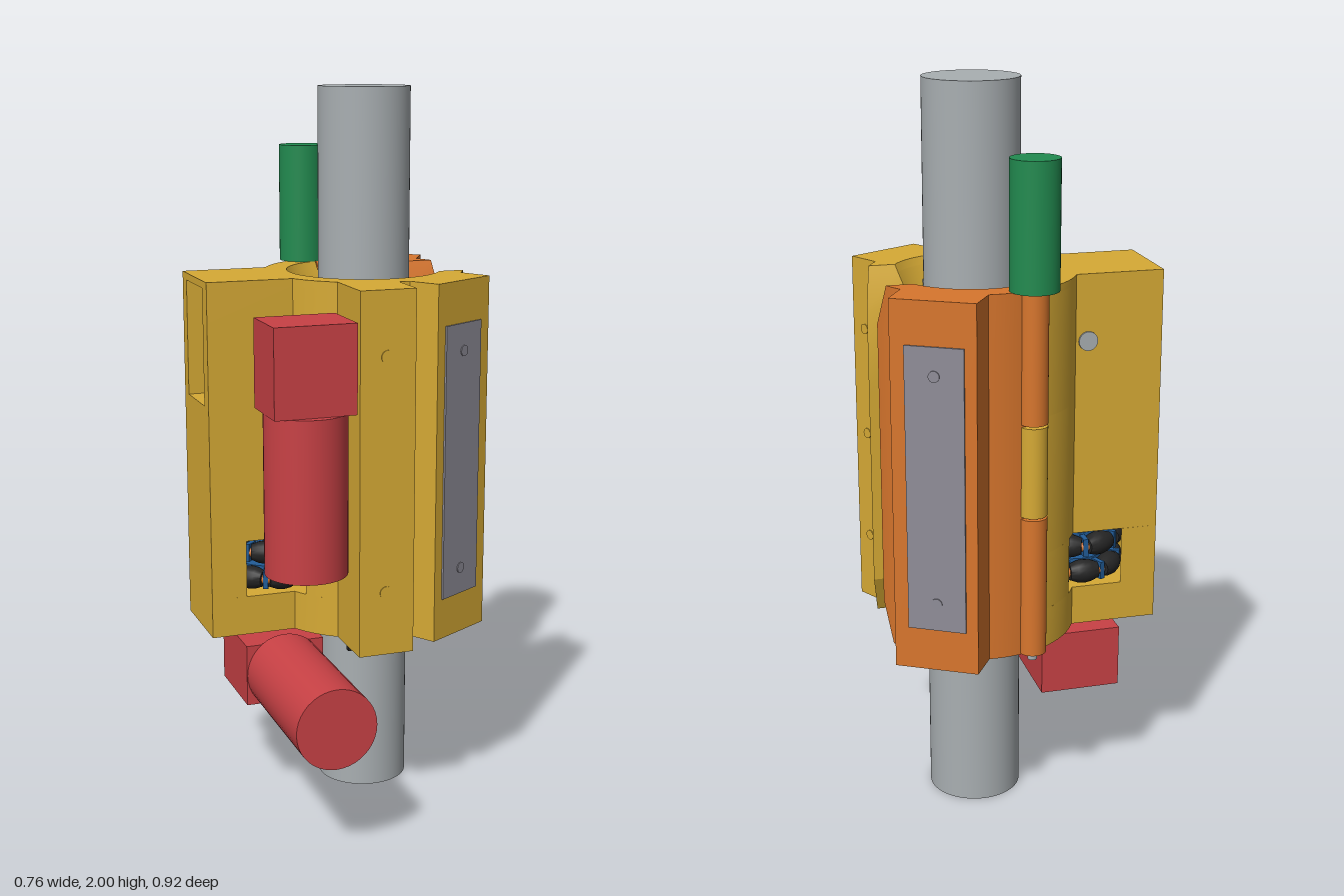
import * as THREE from 'three';
import { toCreasedNormals, mergeVertices } from 'three/addons/utils/BufferGeometryUtils.js';

const mat = (name, color) => { const m = new THREE.MeshStandardMaterial({ color }); m.name = name; return m; };
const CX = 0.107, CZ = -0.105, ROUT = 0.277, MID = 1.005;
const rad = THREE.MathUtils.degToRad, deg = THREE.MathUtils.radToDeg;

// Polar point around the pole axis; positive angles run towards the front
const polar = (r, a) => [CX + r * Math.cos(rad(a)), CZ + r * Math.sin(rad(a))];
const arc = (r, a0, a1, n) => Array.from({ length: n + 1 }, (_, i) => polar(r, a0 + (a1 - a0) * i / n));
const mirrorZ = pts => pts.map(([x, z]) => [x, 2 * CZ - z]);

// Solid through matching [x, z] outlines at rising heights
function loft(ys, outline) {
  let rows = ys.map(outline);
  const flat = pts => pts.map(([x, z]) => new THREE.Vector2(x, -z));
  if (THREE.ShapeUtils.isClockWise(flat(rows[0]))) rows = rows.map(r => [...r].reverse());
  const pos = [], put = (k, i) => pos.push(rows[k][i][0], ys[k], rows[k][i][1]);
  const n = rows[0].length, top = rows.length - 1;
  for (let k = 0; k < top; k++) for (let i = 0; i < n; i++) {
    const j = (i + 1) % n;
    put(k, i); put(k, j); put(k + 1, j);
    put(k, i); put(k + 1, j); put(k + 1, i);
  }
  for (const [a, b, c] of THREE.ShapeUtils.triangulateShape(flat(rows[0]), [])) { put(0, a); put(0, c); put(0, b); }
  for (const [a, b, c] of THREE.ShapeUtils.triangulateShape(flat(rows[top]), [])) { put(top, a); put(top, b); put(top, c); }
  const g = new THREE.BufferGeometry();
  g.setAttribute('position', new THREE.Float32BufferAttribute(pos, 3));
  return toCreasedNormals(g, 0.4);
}

// The bore and the jaw tips flare at both ends
const flare = y => Math.max(0, (Math.abs(y - MID) - 0.385) / 0.11);
const bore = y => 0.16 + 0.055 * flare(y);
const tipAngle = (y, r) => deg(Math.asin((0.07 + 0.045 * flare(y)) / r));
const innerArc = (y, a1, a0 = tipAngle(y, bore(y)), n = 36) => arc(bore(y), a1, a0, n);
const jawOuter = y => [...arc(ROUT, tipAngle(y, ROUT), 35.6, 5), [0.38, 0.14], [0.185, 0.25], [0.135, 0.172]];
const frontOuter = (y, end) => [...jawOuter(y), [0.105, 0.172], [0.105, 0.295], [-0.05, 0.295], ...arc(ROUT, 124.6, end, 6)];
const backOuter = start => arc(ROUT, start, 250, 8);

// Cross-sections of the main housing
const solid = y => [...frontOuter(y, 153.6), [-0.38, 0.018], [-0.38, -0.23], ...backOuter(206.4), ...innerArc(y, 250)];
const slotFront = y => [...frontOuter(y, 153.6), [-0.38, 0.018], [-0.38, -0.025],
  ...innerArc(y, 180 - deg(Math.asin(0.08 / bore(y))))];
const slotBack = y => [[-0.38, -0.19], [-0.38, -0.23], ...backOuter(206.4),
  ...innerArc(y, 250, 180 + deg(Math.asin(0.085 / bore(y))), 12)];
const cutFront = y => [...frontOuter(y, 145), ...innerArc(y, 145)];
const cutBack = y => [...backOuter(215), ...innerArc(y, 250, 215, 10)];
const cutWall = () => [[-0.38, 0.018], [-0.38, -0.23], [-0.28, -0.23], [-0.333, -0.17], [-0.333, -0.04], [-0.28, 0.018]];
const jaw = y => mirrorZ([...jawOuter(y), ...arc(ROUT, 84, 109, 6), ...innerArc(y, 109)]);

export function createModel() {
  const yellow = mat('housing yellow', 0xd6aa35), orange = mat('jaw orange', 0xd8762d);
  const red = mat('motor red', 0xc84145), green = mat('actuator green', 0x228b50);
  const steel = mat('pole steel', 0xa9afb2), plateGrey = mat('plate grey', 0x8f8d98);
  const blue = mat('hub blue', 0x215c98), black = mat('tyre black', 0x252525);
  const model = new THREE.Group();
  model.name = 'poleClimber';

  const add = (name, geo, m, x = 0, y = 0, z = 0, parent = model) => {
    const mesh = new THREE.Mesh(geo, m);
    mesh.name = name;
    mesh.position.set(x, y, z);
    parent.add(mesh);
    return mesh;
  };
  const cyl = (r, h, n = 40) => new THREE.CylinderGeometry(r, r, h, n);
  const box = (w, h, d) => new THREE.BoxGeometry(w, h, d);

  add('pole', cyl(0.127, 2, 64), steel, CX, 1, CZ);

  // Housing in layers, with wheel openings
  const housing = new THREE.Group();
  housing.name = 'housing';
  model.add(housing);
  [['lowerHousing', [0.51, 0.62], solid],
    ['lowerWindowFront', [0.62, 0.78], cutFront], ['lowerWindowBack', [0.62, 0.78], cutBack], ['lowerWindowWall', [0.62, 0.78], cutWall],
    ['middleHousing', [0.78, 1.16], solid],
    ['upperSlotFront', [1.16, 1.39, 1.48], slotFront], ['upperSlotBack', [1.16, 1.39, 1.48], slotBack],
    ['topHousing', [1.48, 1.5], solid],
  ].forEach(([name, ys, f]) => add(name, loft(ys, f), yellow, 0, 0, 0, housing));
  add('hingedJaw', loft([0.51, 0.62, 1.39, 1.5], jaw), orange);

  // Hinge knuckles, pin and its actuator
  const hx = 0.012, hz = -0.365;
  [[0.51, 0.9, orange], [0.9, 1.15, yellow], [1.15, 1.5, orange]].forEach(([a, b, m]) =>
    add('hingeKnuckle', cyl(0.037, b - a - 0.006), m, hx, (a + b) / 2, hz));
  add('hingePin', cyl(0.013, 1.0, 16), steel, hx, 0.99, hz);
  add('hingeActuator', cyl(0.064, 0.33), green, hx, 1.665, hz);

  // Plates, bolts and guide pads on both jaws
  for (const side of [1, -1]) {
    const m = side > 0 ? yellow : orange;
    const zAt = z => CZ + side * (z - CZ);
    const plate = new THREE.Group();
    plate.name = 'jawPlate';
    plate.position.set(0.28, MID, zAt(0.197));
    plate.rotation.y = rad(side > 0 ? 30 : 150);
    model.add(plate);
    add('coverPlate', box(0.155, 0.76, 0.008), plateGrey, 0, 0, 0, plate);
    for (const y of [-0.305, 0.305])
      add('plateBolt', cyl(0.015, 0.006, 16), plateGrey, 0, y, 0.004, plate).rotation.x = Math.PI / 2;
    for (const y of [0.7, MID, 1.305]) {
      const bolt = add('sideBolt', cyl(0.014, 0.006, 16), m, 0.357, y, zAt(0.1));
      bolt.rotation.set(0, rad(side * 30), Math.PI / 2);
    }
    for (const y of [0.7, 1.305]) {
      const pad = [...arc(0.132, 32, 88, 14), ...arc(0.17, 86, 34, 14)];
      add('guidePad', loft([y - 0.03, y + 0.03], () => (side > 0 ? pad : mirrorZ(pad))), orange);
      const [px, pz] = polar(0.175, side * 60);
      add('padPin', cyl(0.011, 0.26, 16), steel, px, y + (y > 1 ? 0.01 : -0.01), pz);
    }
  }
  for (const y of [0.685, 1.325])
    add('frontBolt', cyl(0.018, 0.006, 20), yellow, 0.026, y, 0.295).rotation.x = Math.PI / 2;
  add('rearBearing', cyl(0.026, 0.008, 24), steel, -0.175, 1.32, -0.23).rotation.x = Math.PI / 2;
  add('lowerPeg', box(0.015, 0.1, 0.015), black, 0.005, 0.495, 0.07);

  // Two-row roller wheel, axle along local y
  const barrel = new THREE.LatheGeometry([[0, -0.04], [0.022, -0.04], [0.03, -0.02], [0.033, 0], [0.03, 0.02], [0.022, 0.04], [0, 0.04]]
    .map(p => new THREE.Vector2(...p)), 16);
  const barrelGeo = toCreasedNormals(mergeVertices(barrel), 0.6);
  const wheel = (name, y) => {
    const g = new THREE.Group();
    g.name = name;
    g.position.set(-0.175, y, CZ);
    model.add(g);
    for (const row of [-1, 1]) {
      add('hub', cyl(0.098, 0.06), blue, 0, row * 0.038, 0, g);
      for (let i = 0; i < 8; i++) {
        const a = (i + (row > 0 ? 0.5 : 0)) * Math.PI / 4;
        const arm = new THREE.Group();
        arm.name = 'rollerMount';
        arm.rotation.y = a;
        g.add(arm);
        add('roller', barrelGeo, black, 0.115, row * 0.038, 0, arm).rotation.x = Math.PI / 2;
        for (const s of [-1, 1])
          add('rollerCap', cyl(0.014, 0.008, 12), orange, 0.115, row * 0.038, s * 0.042, arm).rotation.x = Math.PI / 2;
        const bracket = add('bracket', box(0.05, 0.05, 0.014), blue, 0.112, row * 0.038, 0, arm);
        bracket.position.set(0.112 * Math.cos(Math.PI / 8), row * 0.038, 0.112 * Math.sin(Math.PI / 8));
        bracket.rotation.y = -Math.PI / 8;
      }
    }
    return g;
  };
  wheel('climbWheel', 1.32).rotation.x = Math.PI / 2;
  wheel('turnWheel', 0.7);

  // Climb motor: gearbox, body and shaft
  add('climbGearbox', box(0.225, 0.24, 0.175), red, -0.173, 1.3, 0.2175);
  add('climbMotor', cyl(0.112, 0.44), red, -0.173, 0.96, 0.218);
  add('climbShaft', cyl(0.024, 0.36, 20), steel, -0.175, 1.32, -0.045).rotation.x = Math.PI / 2;

  // Turning motor under the housing
  add('turnGearbox', box(0.225, 0.175, 0.24), red, -0.173, 0.388, -0.095);
  add('turnMotor', cyl(0.111, 0.44), red, -0.173, 0.388, 0.243).rotation.x = Math.PI / 2;
  add('turnShaft', cyl(0.024, 0.3, 20), steel, -0.175, 0.6, CZ);

  return model;
}
